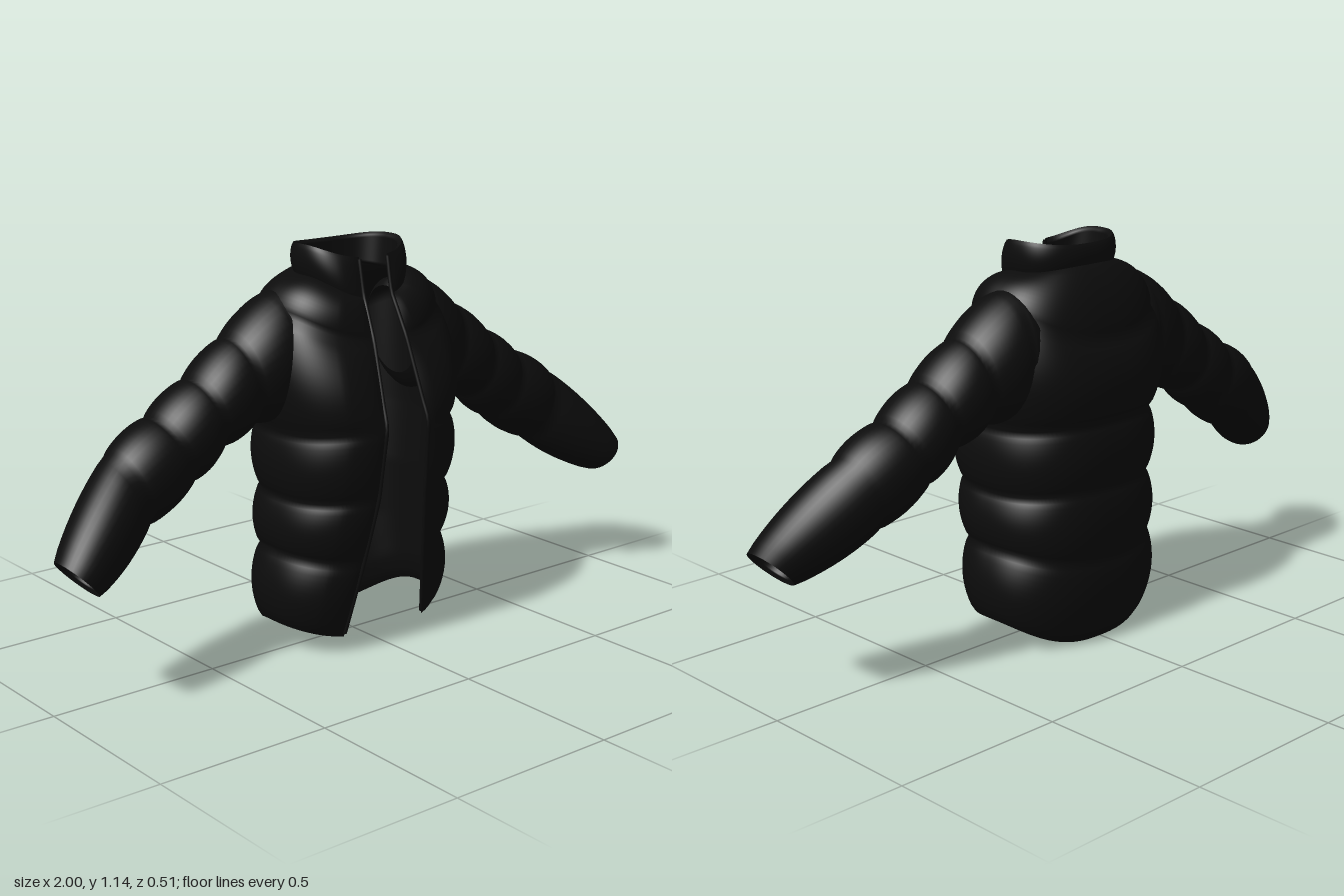
import * as THREE from 'three';
import { mergeVertices } from 'three/addons/utils/BufferGeometryUtils.js';

const lerp = THREE.MathUtils.lerp;

// Smooth surface from a function of (u, v), both running 0..1
function surface(fn, nu, nv) {
  const pos = [], idx = [];
  for (let j = 0; j <= nv; j++) {
    for (let i = 0; i <= nu; i++) pos.push(...fn(i / nu, j / nv).toArray());
  }
  for (let j = 0; j < nv; j++) {
    for (let i = 0; i < nu; i++) {
      const a = j * (nu + 1) + i, b = a + nu + 1;
      idx.push(a, a + 1, b, a + 1, b + 1, b);
    }
  }
  let g = new THREE.BufferGeometry();
  g.setAttribute('position', new THREE.Float32BufferAttribute(pos, 3));
  g.setIndex(idx);
  g = mergeVertices(g, 1e-5);
  g.computeVertexNormals();
  return g;
}

// Blend the rows of a table; f is the place inside the current quilted band
function sample(rows, v) {
  const t = v * (rows.length - 1);
  const k = Math.min(Math.floor(t), rows.length - 2), f = t - k;
  return { r: rows[k].map((a, i) => lerp(a, rows[k + 1][i], f)), f, k };
}
const bulge = (f) => Math.pow(Math.max(0, Math.sin(Math.PI * f)), 0.7);
const edgeFade = (t, n) => Math.sqrt(Math.min(1, Math.max(0, Math.min(t, 1 - t) * n)));

// Open-fronted wrap around the body.
// Rows: front y, side y, back y, half width, front z, back z, middle z, half gap
// Puffs: outward and upward padding for each band
function wrap(rows, puffs, inset) {
  return (u, v) => {
    const { r, f, k } = sample(rows, v);
    const [yF, yS, yB, w, zF, zB, zM, gap] = r;
    const e = 0.8;
    const t0 = Math.asin(Math.pow(gap / w, 1 / e));
    const th = lerp(t0, 2 * Math.PI - t0, u);
    const s = Math.sin(th), c = Math.cos(th);
    const px = Math.sign(s) * Math.pow(Math.abs(s), e);
    const pz = Math.sign(c) * Math.pow(Math.abs(c), e);
    const fade = edgeFade(u, 14);
    const [out, up] = puffs[k];
    const b = inset ? 0 : bulge(f) * fade;
    const push = out * b - inset * fade * edgeFade(v, 14);
    const reach = c > 0 ? zF - zM : zM - zB;
    const n = Math.hypot(px, pz) || 1;
    return new THREE.Vector3(
      px * w + (px / n) * push,
      lerp(yS, c > 0 ? yF : yB, c * c) + up * b,
      zM + pz * reach + (pz / n) * push);
  };
}

const BODY = [
  [0.04, 0.08, 0.00, 0.272, 0.155, -0.185, -0.02, 0.145],
  [0.27, 0.29, 0.25, 0.264, 0.195, -0.22, -0.01, 0.11],
  [0.46, 0.45, 0.46, 0.260, 0.225, -0.225, 0, 0.085],
  [0.66, 0.64, 0.65, 0.268, 0.245, -0.23, 0, 0.075],
  [0.89, 0.97, 0.88, 0.265, 0.165, -0.225, -0.03, 0.058],
  [1.00, 1.06, 1.08, 0.150, 0.115, -0.13, -0.02, 0.05],
];
const BODY_PUFF = [[0.028, 0], [0.022, 0], [0.022, 0], [0.038, 0], [0.022, 0.02]];

const COLLAR = [
  [0.99, 1.045, 1.06, 0.150, 0.115, -0.13, -0.02, 0.05],
  [1.11, 1.145, 1.133, 0.158, 0.092, -0.133, -0.02, 0.05],
];
const COLLAR_PUFF = [[0.012, 0]];

// Sleeve sections at the seams: top x, top y, bottom x, bottom y, back z, front z
const SLEEVE = [
  [0.16, 0.99, 0.20, 0.73, -0.15, 0.06],
  [0.25, 1.02, 0.25, 0.68, -0.18, 0.085],
  [0.395, 0.915, 0.34, 0.675, -0.155, 0.07],
  [0.52, 0.82, 0.455, 0.625, -0.145, 0.07],
  [0.645, 0.735, 0.55, 0.545, -0.145, 0.07],
  [0.78, 0.66, 0.70, 0.455, -0.125, 0.075],
  [1.0, 0.435, 0.905, 0.332, -0.01, 0.142],
];
// Lining that turns in at the cuff and runs back up the sleeve
const CUFF_LINING = [
  SLEEVE[6],
  [0.98, 0.435, 0.905, 0.348, 0.0, 0.132],
  [0.87, 0.535, 0.80, 0.435, -0.06, 0.09],
  [0.72, 0.66, 0.66, 0.52, -0.1, 0.05],
  [0.50, 0.80, 0.45, 0.66, -0.11, 0.04],
];

function tube(rows, side, puff) {
  return (u, v) => {
    const { r, f } = sample(rows, v);
    const [tx, ty, bx, by, zB, zF] = r;
    const a = u * Math.PI * 2;
    const hx = (tx - bx) / 2, hy = (ty - by) / 2, hz = (zF - zB) / 2;
    const h = Math.hypot(hx, hy), p = puff * bulge(f);
    const k = Math.cos(a) * (1 + p / h);
    return new THREE.Vector3(
      side * ((tx + bx) / 2 + hx * k),
      (ty + by) / 2 + hy * k,
      (zB + zF) / 2 + Math.sin(a) * (hz + p));
  };
}

export function createModel() {
  const jacket = new THREE.Group();
  jacket.name = 'pufferJacket';
  const fabric = new THREE.MeshStandardMaterial({ color: 0x0c0c0c, side: THREE.DoubleSide });
  fabric.name = 'black fabric';

  const add = (name, geometry) => {
    const m = new THREE.Mesh(geometry, fabric);
    m.name = name;
    jacket.add(m);
  };

  // Quilted body and its lining, meeting along the hem and front edges
  add('body', surface(wrap(BODY, BODY_PUFF, 0), 112, 60));
  add('bodyLining', surface(wrap(BODY, BODY_PUFF, 0.022), 112, 60));

  // Stand-up collar
  add('collar', surface(wrap(COLLAR, COLLAR_PUFF, 0), 80, 14));
  add('collarLining', surface(wrap(COLLAR, COLLAR_PUFF, 0.012), 80, 14));

  // Sleeves and zip tapes on both sides
  for (const [label, side] of [['left', 1], ['right', -1]]) {
    add(label + 'Sleeve', surface(tube(SLEEVE, side, 0.014), 40, 60));
    add(label + 'CuffLining', surface(tube(CUFF_LINING, side, 0), 40, 16));

    const edge = wrap(BODY, BODY_PUFF, 0);
    const points = [];
    for (let i = 0; i <= 20; i++) points.push(edge(side > 0 ? 0 : 1, 0.01 + 0.99 * i / 20));
    points.push(wrap(COLLAR, COLLAR_PUFF, 0)(side > 0 ? 0 : 1, 0.95));
    add(label + 'ZipTape', new THREE.TubeGeometry(new THREE.CatmullRomCurve3(points), 60, 0.006, 8));
  }
  return jacket;
}
